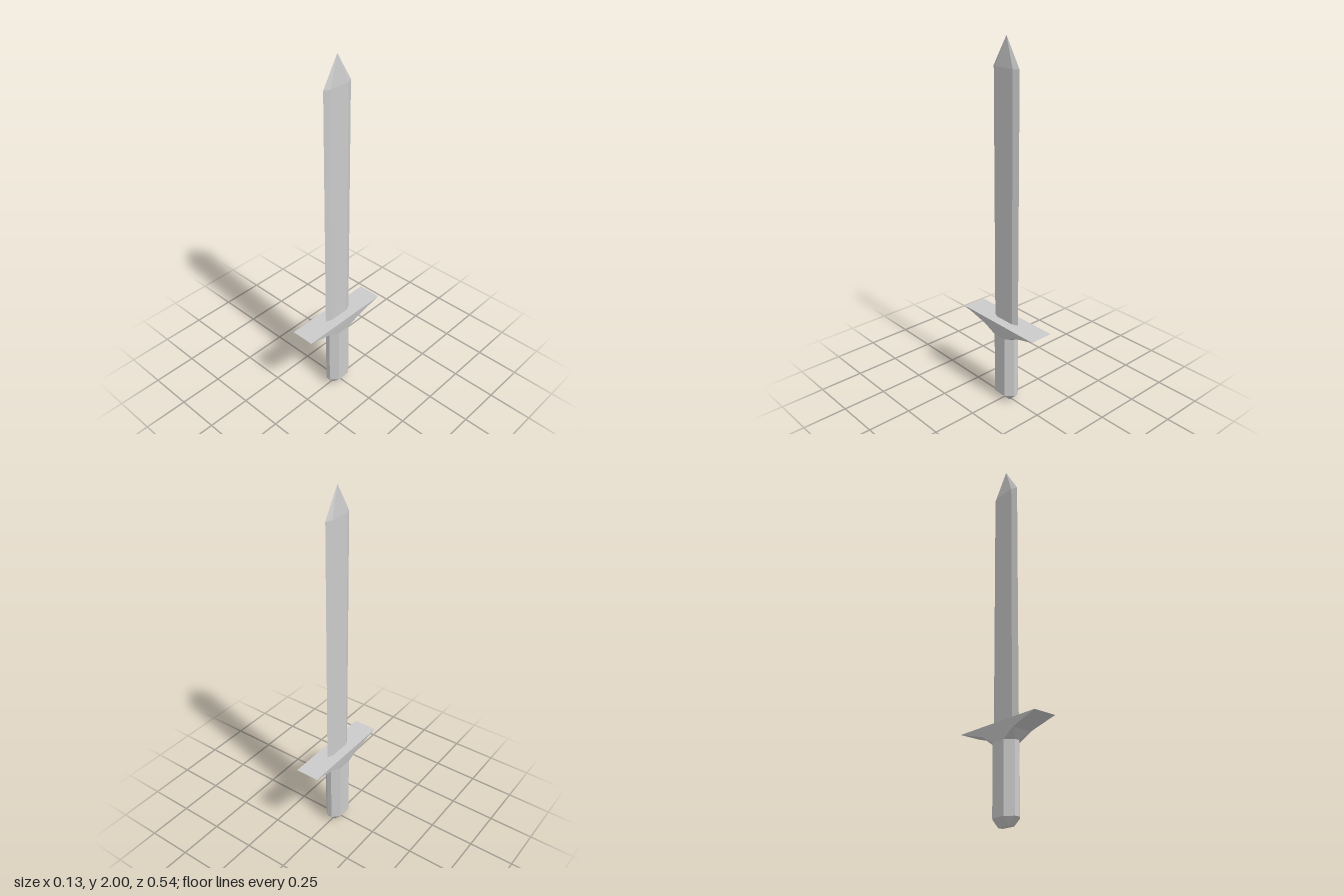
import * as THREE from 'three';

// Cross-section at height y: half sizes X and Z, with corners cut back to cx and cz.
function section(y, X, Z, cx = X, cz = Z) {
  return [
    [-cx, Z], [cx, Z], [X, cz], [X, -cz],
    [cx, -Z], [-cx, -Z], [-X, -cz], [-X, cz],
  ].map(([x, z]) => new THREE.Vector3(x, y, z));
}

// Faceted skin through the sections (bottom to top), closed at both ends.
function loft(sections) {
  const points = [];
  const triangle = (a, b, c) => {
    const area = b.clone().sub(a).cross(c.clone().sub(a)).length();
    if (area > 1e-9) points.push(a, b, c); // merged corners leave no face
  };
  for (let s = 0; s < sections.length - 1; s++) {
    const low = sections[s], high = sections[s + 1];
    for (let i = 0; i < 8; i++) {
      const j = (i + 1) % 8;
      triangle(low[i], low[j], high[j]);
      triangle(low[i], high[j], high[i]);
    }
  }
  const bottom = sections[0], top = sections[sections.length - 1];
  for (let i = 1; i < 7; i++) {
    triangle(bottom[0], bottom[i + 1], bottom[i]);
    triangle(top[0], top[i], top[i + 1]);
  }
  const geometry = new THREE.BufferGeometry().setFromPoints(points);
  geometry.computeVertexNormals();
  return geometry;
}

export function createModel() {
  const group = new THREE.Group();
  group.name = 'sword';
  const material = new THREE.MeshStandardMaterial({ color: 0xcccccc, flatShading: true });
  const add = (name, sections) => {
    const mesh = new THREE.Mesh(loft(sections), material);
    mesh.name = name;
    group.add(mesh);
  };

  // Eight-sided grip with a bevelled butt
  add('grip', [
    section(0, 0.014, 0.04),
    section(0.04, 0.051, 0.078, 0.014, 0.04),
    section(0.402, 0.051, 0.078, 0.014, 0.04),
  ]);

  // Crossguard flaring from the grip to a wide flat top
  add('crossguard', [
    section(0.402, 0.051, 0.078, 0.014, 0.04),
    section(0.445, 0.059, 0.115),
    section(0.49, 0.067, 0.272),
  ]);

  // Six-sided blade running to a point
  add('blade', [
    section(0.48, 0.015, 0.092, 0, 0.06),
    section(1.85, 0.015, 0.092, 0, 0.06),
    section(2, 0, 0),
  ]);

  return group;
}
